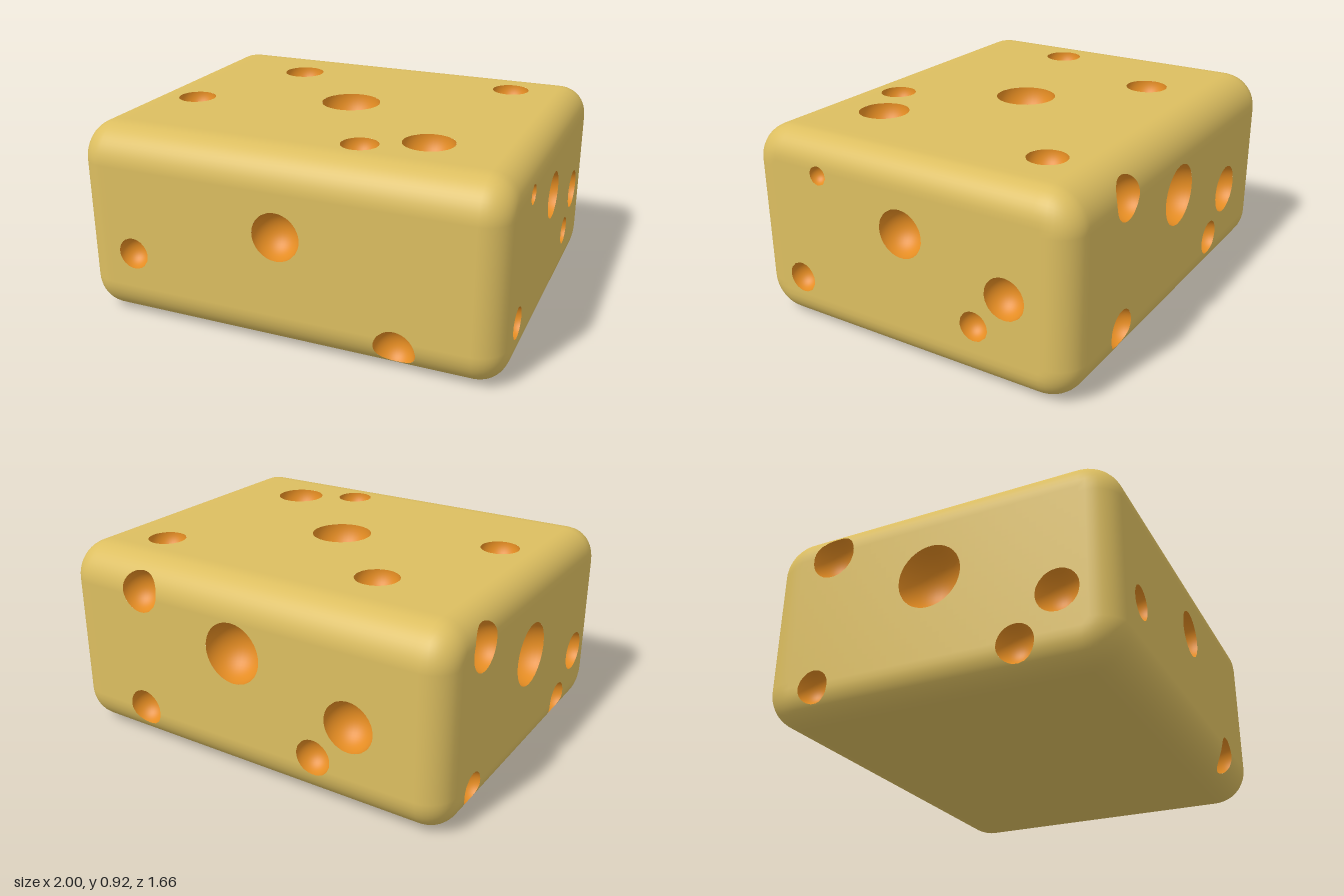
import * as THREE from 'three';

// Block half sizes, corner radius around the x axis, and bevel of the two x ends
const HX = 1, HY = 0.46, HZ = 0.83, CORNER = 0.17, BEVEL = 0.13;

// Holes per face: [a, b, radius]; a and b are the two coordinates in the face
const HOLES = {
  front: [[0, 0.55, 0.112], [-0.73, 0.34, 0.075], [0.54, 0.12, 0.095]],
  back: [[0.55, 0.775, 0.1], [0.03, 0.6, 0.143], [-0.56, 0.42, 0.118], [-0.385, 0.22, 0.085], [0.57, 0.18, 0.09]],
  right: [[0.43, 0.755, 0.044], [-0.01, 0.59, 0.11], [-0.52, 0.435, 0.095], [-0.37, 0.265, 0.068], [0.575, 0.227, 0.072]],
  left: [[-0.505, 0.763, 0.107], [0, 0.53, 0.148], [0.58, 0.32, 0.095], [0.4, 0.13, 0.083], [-0.55, 0.13, 0.075]],
  top: [[0, 0, 0.14], [-0.45, -0.425, 0.1], [0.655, -0.51, 0.089], [-0.73, 0.21, 0.09], [0.54, 0.43, 0.116], [0.275, 0.56, 0.084]],
};
const PLACE = {
  front: (a, b) => [a, b, HZ],
  back: (a, b) => [a, b, -HZ],
  right: (a, b) => [HX, b, a],
  left: (a, b) => [-HX, b, a],
  top: (a, b) => [a, 2 * HY, b],
};

// Signed distance to the bevelled block (negative inside)
function blockDistance(p) {
  const round = (u, v, r) => Math.min(Math.max(u, v), 0) + Math.hypot(Math.max(u, 0), Math.max(v, 0)) - r;
  const profile = round(Math.abs(p.y - HY) - HY + CORNER, Math.abs(p.z) - HZ + CORNER, CORNER);
  return round(profile + BEVEL, Math.abs(p.x) - HX + BEVEL, BEVEL);
}

function blockNormal(p) {
  const e = 1e-4, n = new THREE.Vector3();
  for (const k of ['x', 'y', 'z']) {
    const a = p.clone(), b = p.clone();
    a[k] += e;
    b[k] -= e;
    n[k] = blockDistance(a) - blockDistance(b);
  }
  return n.normalize();
}

// Point on the edge a-b where the field f changes sign
function crossing(a, b, f) {
  const lo = a.clone(), hi = b.clone(), mid = new THREE.Vector3();
  const positive = f(a) > 0;
  for (let i = 0; i < 16; i++) {
    mid.addVectors(lo, hi).multiplyScalar(0.5);
    (f(mid) > 0 === positive ? lo : hi).copy(mid);
  }
  return mid;
}

// Keep the part of a polygon where f > 0
function clip(poly, f) {
  const out = [];
  poly.forEach((a, i) => {
    const b = poly[(i + 1) % poly.length];
    const inA = f(a) > 0, inB = f(b) > 0;
    if (inA) out.push(a);
    if (inA !== inB) out.push(crossing(a, b, f));
  });
  return out;
}

function triangles(geometry) {
  const pos = geometry.attributes.position, idx = geometry.index, list = [];
  for (let i = 0; i < idx.count; i += 3) {
    list.push([0, 1, 2].map((k) => new THREE.Vector3().fromBufferAttribute(pos, idx.getX(i + k))));
  }
  return list;
}

// Fan the polygons into a geometry with exact surface normals
function polygonsToGeometry(polys, normalAt) {
  const pos = [], nor = [];
  for (const poly of polys) {
    const normals = poly.map(normalAt);
    for (let i = 1; i < poly.length - 1; i++) {
      for (const k of [0, i, i + 1]) {
        pos.push(...poly[k].toArray());
        nor.push(...normals[k].toArray());
      }
    }
  }
  const g = new THREE.BufferGeometry();
  g.setAttribute('position', new THREE.Float32BufferAttribute(pos, 3));
  g.setAttribute('normal', new THREE.Float32BufferAttribute(nor, 3));
  return g;
}

export function createModel() {
  const group = new THREE.Group();
  group.name = 'cheeseBlock';
  const rind = new THREE.MeshStandardMaterial({ color: 0xdcbe60 });
  const inner = new THREE.MeshStandardMaterial({ color: 0xe48c22 });

  const holes = Object.entries(HOLES).flatMap(([face, list]) =>
    list.map(([a, b, r]) => ({ face, r, center: new THREE.Vector3(...PLACE[face](a, b)) })));

  // Block: a fine box drawn onto the rounded surface, then cut by every hole
  const box = new THREE.BoxGeometry(2 * HX, 2 * HY, 2 * HZ, 64, 32, 54).translate(0, HY, 0);
  const pos = box.attributes.position, p = new THREE.Vector3();
  for (let i = 0; i < pos.count; i++) {
    p.fromBufferAttribute(pos, i);
    for (let k = 0; k < 3; k++) p.addScaledVector(blockNormal(p), -blockDistance(p));
    pos.setXYZ(i, p.x, p.y, p.z);
  }
  let polys = triangles(box);
  for (const { center, r } of holes) {
    polys = polys
      .map((poly) => clip(poly, (q) => q.distanceTo(center) - r))
      .filter((poly) => poly.length > 2);
  }
  const block = new THREE.Mesh(polygonsToGeometry(polys, blockNormal), rind);
  block.name = 'block';
  group.add(block);

  // Holes: inward-facing spheres trimmed to the inside of the block
  for (const { face, center, r } of holes) {
    const sphere = new THREE.SphereGeometry(r, 40, 28).translate(center.x, center.y, center.z);
    const bowl = triangles(sphere)
      .map((t) => clip(t.reverse(), (q) => -blockDistance(q)))
      .filter((poly) => poly.length > 2);
    const toCenter = (q) => center.clone().sub(q).normalize();
    const mesh = new THREE.Mesh(polygonsToGeometry(bowl, toCenter), inner);
    mesh.name = face + 'Hole';
    group.add(mesh);
  }
  return group;
}
